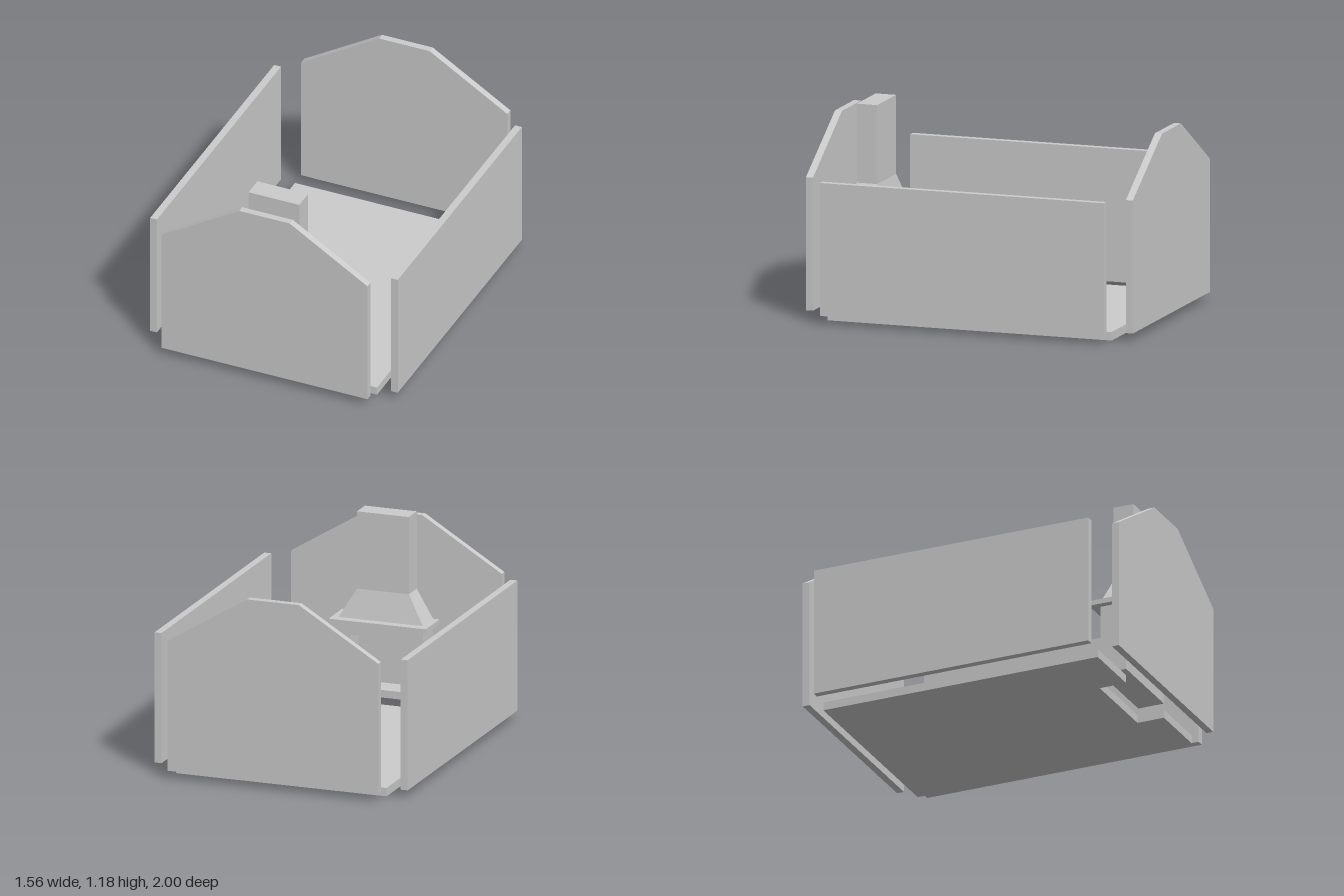
import * as THREE from 'three';

const material = new THREE.MeshStandardMaterial({ color: 0xcccccc, flatShading: true });

function add(parent, name, geometry) {
  const mesh = new THREE.Mesh(geometry, material);
  mesh.name = name;
  parent.add(mesh);
  return mesh;
}

// Box given by its limits on each axis
function block(x0, x1, y0, y1, z0, z1) {
  return new THREE.BoxGeometry(x1 - x0, y1 - y0, z1 - z0)
    .translate((x0 + x1) / 2, (y0 + y1) / 2, (z0 + z1) / 2);
}

const outline = (points) => points.map(([x, y]) => new THREE.Vector2(x, y));

// Flat outline in x and y, extruded from z0 to z1
function slab(shape, z0, z1) {
  return new THREE.ExtrudeGeometry(shape, { depth: z1 - z0, bevelEnabled: false })
    .translate(0, 0, z0);
}

export function createModel() {
  const model = new THREE.Group();
  model.name = 'explodedRoom';

  const back = -0.87, front = 0.867;   // floor and side wall ends
  const halfWidth = 0.65, floorTop = 0.05, eaves = 0.83;

  // Floor with a notch for the fireplace (drawn with y = -z, then laid flat)
  const floorShape = new THREE.Shape(outline([
    [-halfWidth, -front], [-0.26, -front], [-0.26, -0.7], [0.26, -0.7],
    [0.26, -front], [halfWidth, -front], [halfWidth, -back], [-halfWidth, -back],
  ]));
  add(model, 'floor', slab(floorShape, 0, floorTop).rotateX(-Math.PI / 2));

  // Gable walls
  const gable = new THREE.Shape(outline([
    [-halfWidth, floorTop], [halfWidth, floorTop], [halfWidth, eaves],
    [0.16, 1.13], [-0.16, 1.13], [-halfWidth, eaves],
  ]));
  add(model, 'frontWall', slab(gable, 0.957, 1));
  add(model, 'backWall', slab(gable, -1, -0.957));

  // Side walls
  add(model, 'leftWall', block(0.738, 0.781, floorTop, eaves, back, front));
  add(model, 'rightWall', block(-0.781, -0.738, floorTop, eaves, back, front));

  // Fireplace against the front end, opening towards the room
  const fireplace = new THREE.Group();
  fireplace.name = 'fireplace';
  model.add(fireplace);

  const surround = new THREE.Shape(outline([[-0.26, 0.09], [0.26, 0.09], [0.26, 0.515], [-0.26, 0.515]]));
  surround.holes.push(new THREE.Path(outline([[-0.19, 0.135], [-0.19, 0.445], [0.19, 0.445], [0.19, 0.135]])));
  add(fireplace, 'firebox', slab(surround, 0.705, 0.85));
  add(fireplace, 'fireboxBack', block(-0.26, 0.26, 0.09, 0.515, 0.85, front));
  add(fireplace, 'mantel', block(-0.3, 0.3, 0.515, 0.545, 0.65, front));

  // Hood: a block whose top narrows to the chimney
  const hood = block(-0.26, 0.26, 0.545, 0.715, 0.705, front);
  const p = hood.attributes.position;
  for (let i = 0; i < p.count; i++) {
    if (p.getY(i) < 0.6) continue;
    p.setX(i, Math.sign(p.getX(i)) * 0.16);
    if (p.getZ(i) < 0.8) p.setZ(i, 0.742);
  }
  hood.computeVertexNormals();
  add(fireplace, 'hood', hood);
  add(fireplace, 'chimney', block(-0.16, 0.16, 0.715, 1.178, 0.742, front));

  return model;
}
